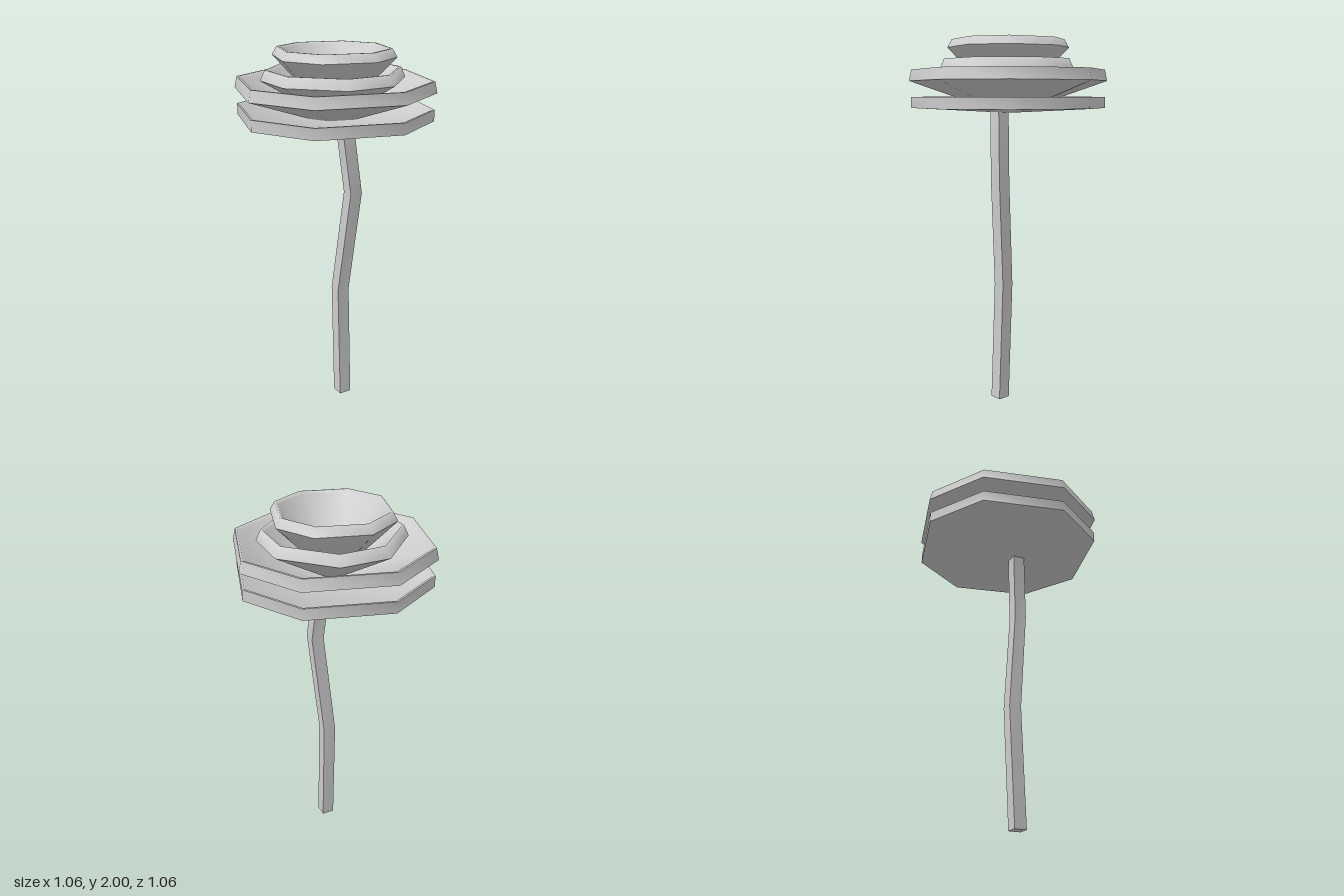
import * as THREE from 'three';
import { mergeVertices, toCreasedNormals } from 'three/addons/utils/BufferGeometryUtils.js';

const gray = new THREE.MeshStandardMaterial({ color: 0xcccccc });
gray.name = 'pale gray';

// Thin eight-sided bowl with alternating long and short sides
function petalBowl(name, { radius, floor, low, top, lean, turn }) {
  const lip = radius - lean;
  const profile = [
    [0, floor], [0.07, floor],                 // underside
    [radius, low], [lip, top],                 // outer rim
    [lip - 0.012, top], [lip - 0.022, top - 0.012], // lip
    [0.07, floor + 0.03], [0, floor + 0.03],   // inside
  ].map(([r, y]) => new THREE.Vector2(r, y));
  let geo = new THREE.LatheGeometry(profile, 8);
  const pos = geo.attributes.position;
  for (let k = 0; k < pos.count; k++) {
    const side = Math.floor(k / profile.length) % 8;
    const r = profile[k % profile.length].x;
    const a = THREE.MathUtils.degToRad(22.5 + side * 45 + (side % 2 ? 2.5 : -2.5));
    pos.setX(k, r * Math.sin(a));
    pos.setZ(k, r * Math.cos(a));
  }
  geo.deleteAttribute('uv');
  geo.deleteAttribute('normal');
  geo = toCreasedNormals(mergeVertices(geo), 1.2);
  const mesh = new THREE.Mesh(geo, gray);
  mesh.name = name;
  mesh.rotation.y = THREE.MathUtils.degToRad(turn);
  return mesh;
}

// Square stem bent along four stations [x, y, z]
function bentStem() {
  const path = [[0.014, 0, 0.074], [0.014, 0.66, 0.047], [0.056, 1.24, 0.107], [0.017, 1.63, 0.078]];
  const geo = new THREE.BoxGeometry(0.07, 3, 0.07, 1, 3, 1);
  const pos = geo.attributes.position;
  for (let k = 0; k < pos.count; k++) {
    const [x, y, z] = path[Math.round(pos.getY(k) + 1.5)];
    pos.setXYZ(k, pos.getX(k) + x, y, pos.getZ(k) + z);
  }
  geo.computeVertexNormals();
  const mesh = new THREE.Mesh(geo, gray);
  mesh.name = 'stem';
  return mesh;
}

export function createModel() {
  const flower = new THREE.Group();
  flower.name = 'flower';
  flower.add(
    bentStem(),
    petalBowl('bottomPetals', { radius: 0.528, floor: 1.612, low: 1.635, top: 1.695, lean: 0, turn: 29.5 }),
    petalBowl('lowerPetals', { radius: 0.538, floor: 1.618, low: 1.78, top: 1.84, lean: 0.014, turn: 29.5 }),
    petalBowl('upperPetals', { radius: 0.385, floor: 1.655, low: 1.84, top: 1.893, lean: 0.025, turn: 0 }),
    petalBowl('topPetals', { radius: 0.328, floor: 1.69, low: 1.957, top: 2, lean: 0.025, turn: 29.5 }),
  );
  return flower;
}
